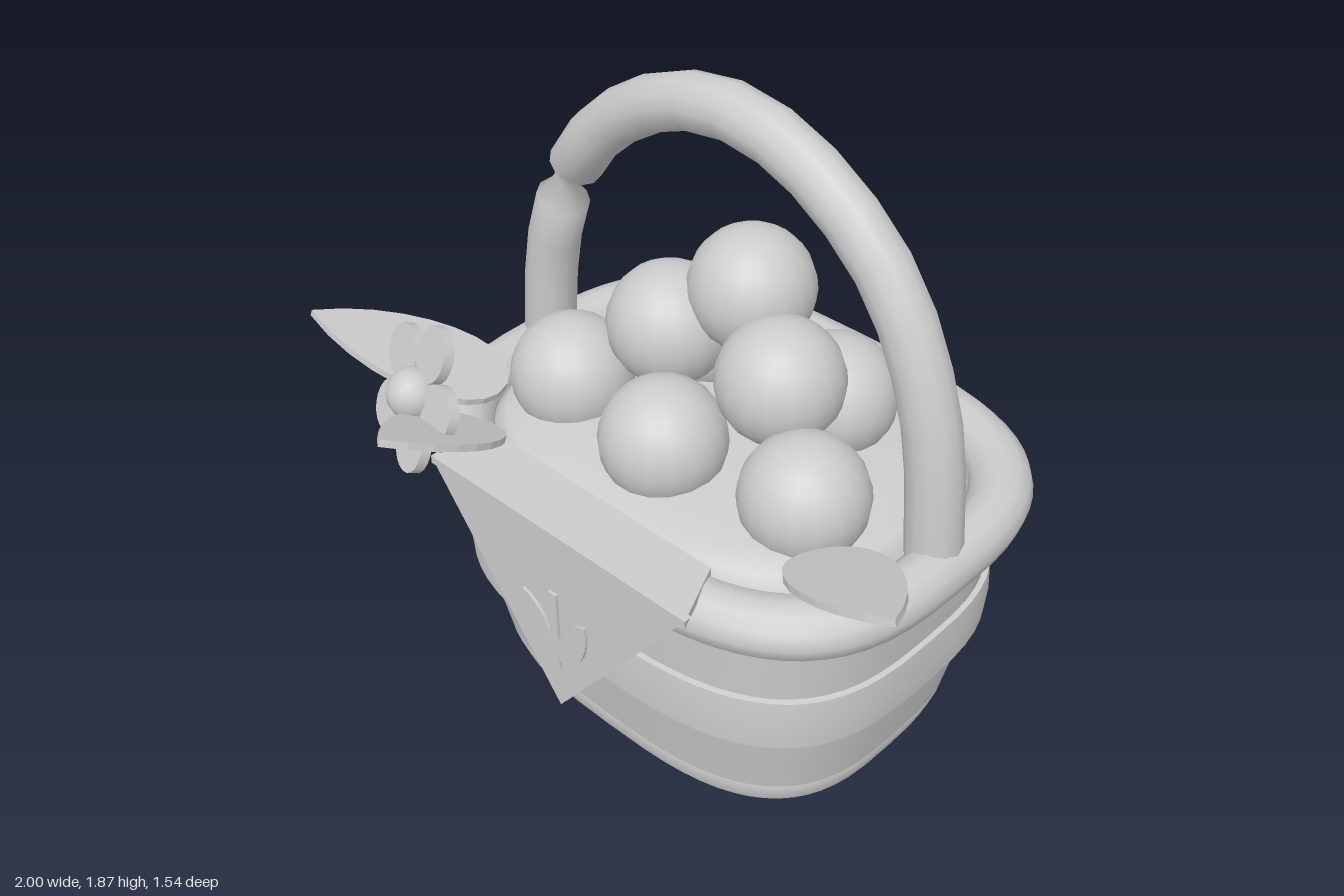
import * as THREE from 'three';
import { mergeVertices, toCreasedNormals } from 'three/addons/utils/BufferGeometryUtils.js';

const CX = 0.02, CZ = -0.122;

// Stack of rounded-rectangle rings; each ring is [halfX, halfZ, y]
function loft(rings, n = 3, seg = 64) {
  const pos = [], idx = [], S = seg + 1;
  const pw = (v) => Math.sign(v) * Math.abs(v) ** (2 / n);
  for (const [a, b, y] of rings)
    for (let j = 0; j <= seg; j++) {
      const t = ((j % seg) / seg) * Math.PI * 2;
      pos.push(a * pw(Math.cos(t)), y, b * pw(Math.sin(t)));
    }
  for (let i = 0; i < rings.length - 1; i++)
    for (let j = 0; j < seg; j++) {
      const a = i * S + j, c = a + S;
      idx.push(a, c, a + 1, a + 1, c, c + 1);
    }
  const g = new THREE.BufferGeometry();
  g.setAttribute('position', new THREE.Float32BufferAttribute(pos, 3));
  g.setIndex(idx);
  const m = mergeVertices(g, 1e-5);
  m.computeVertexNormals();
  return m;
}

const shapeOf = (pts) => new THREE.Shape(pts.map(([x, y]) => new THREE.Vector2(x, y)));
const plate = (shape, depth) => new THREE.ExtrudeGeometry(shape, { depth, bevelEnabled: false, curveSegments: 10 });

// Arched handle with one twisted, pinched joint on its right side
function handleGeometry() {
  const half = [[0.72, 0.76], [0.67, 1.18], [0.53, 1.5], [0.34, 1.68], [0.15, 1.77]];
  const pts = [...half, [0, 1.793], ...half.slice().reverse().map(([x, y]) => [-x, y])];
  const curve = new THREE.CatmullRomCurve3(pts.map(([x, y]) => new THREE.Vector3(x, y, 0)));
  const pos = [], idx = [], N = 20, R = 12, r = 0.077;
  for (let i = 0; i <= N; i++) {
    const p = curve.getPointAt(i / N), t = curve.getTangentAt(i / N);
    const twist = i > 15 ? 2.4 : 0;
    for (let j = 0; j < R; j++) {
      const a = (j / R) * Math.PI * 2 + twist;
      const c = Math.cos(a) * r, s = Math.sin(a) * r;
      pos.push(p.x + t.y * c, p.y - t.x * c, s);
    }
  }
  for (let i = 0; i < N; i++)
    for (let j = 0; j < R; j++) {
      const a = i * R + j, b = i * R + ((j + 1) % R);
      idx.push(a, a + R, b, b, a + R, b + R);
    }
  const g = new THREE.BufferGeometry();
  g.setAttribute('position', new THREE.Float32BufferAttribute(pos, 3));
  g.setIndex(idx);
  g.computeVertexNormals();
  return g;
}

// Pointed leaf plate running from base to tip
function leafGeometry(base, tip, width) {
  const b = new THREE.Vector3(...base), dir = new THREE.Vector3(...tip).sub(b);
  const L = dir.length(), c = width / 1.5;
  dir.normalize();
  const s = new THREE.Shape();
  s.moveTo(0, 0);
  s.bezierCurveTo(c, 0, c, L * 0.6, 0, L);
  s.bezierCurveTo(-c, L * 0.6, -c, 0, 0, 0);
  const x = dir.clone().cross(new THREE.Vector3(0, 1, 0)).normalize();
  const m = new THREE.Matrix4().makeBasis(x, dir, x.clone().cross(dir)).setPosition(b);
  return plate(s, 0.02).translate(0, 0, -0.01).applyMatrix4(m);
}

export function createModel() {
  const model = new THREE.Group();
  const grey = new THREE.MeshStandardMaterial({ color: 0xcccccc });
  grey.name = 'plain grey';
  const add = (name, geo, x = 0, y = 0, z = 0, parent = model) => {
    const m = new THREE.Mesh(geo, grey);
    m.name = name;
    m.position.set(x, y, z);
    parent.add(m);
    return m;
  };

  // Basket wall: base lip, tapered side, raised band, upper side
  const profile = [[0.615, 0], [0.635, 0.005], [0.655, 0.06], [0.652, 0.08], [0.66, 0.085], [0.712, 0.33],
    [0.738, 0.331], [0.744, 0.41], [0.74, 0.494], [0.725, 0.496], [0.745, 0.74]];
  const wall = [[0, 0, 0], ...profile.map(([a, y]) => [a, a - 0.165 + (0.74 - y) * 0.02, y])];
  add('basketBody', toCreasedNormals(loft(wall), 0.6), CX, 0, CZ);

  // Rolled rim
  const rim = [];
  for (let i = 0; i <= 12; i++) {
    const a = (i / 12) * Math.PI * 2 - Math.PI, c = Math.cos(a) * 0.08;
    rim.push([0.745 + c, 0.567 + c, 0.763 + Math.sin(a) * 0.08]);
  }
  add('rim', loft(rim), CX, 0, CZ);

  // Domed filling inside the rim
  const fill = [[0.68, 0.7], [0.655, 0.78], [0.62, 0.82], [0.54, 0.845], [0.36, 0.865], [0.15, 0.873], [0, 0.875]];
  add('filling', loft(fill.map(([a, y]) => [a, a * 0.765, y])), CX, 0, CZ);

  add('handle', handleGeometry(), CX, 0, CZ);

  // Pile of round fruit
  const ball = new THREE.SphereGeometry(0.177, 18, 14);
  [[0.02, 0.925, 0.13], [-0.39, 0.91, 0.07], [0.435, 0.905, 0.04], [-0.22, 0.955, -0.305], [0.25, 0.955, -0.305],
    [-0.175, 1.095, -0.1], [0.225, 1.095, -0.1], [0.02, 1.24, -0.215]]
    .forEach((p) => add('fruit', ball, ...p));

  // Cloth pennant folded over the front rim
  add('pennant', plate(shapeOf([[-0.45, 0.85], [0.02, 0.23], [0.49, 0.85]]), 0.025), 0, 0, 0.52);
  const flap = plate(shapeOf([[-0.45, -0.545], [0.49, -0.545], [0.405, -0.36], [-0.365, -0.36]]), 0.025);
  add('pennantFold', flap.rotateX(-Math.PI / 2), 0, 0.825, 0);

  // Sprout ornament on the pennant
  for (const s of [1, -1]) {
    const leaf = new THREE.Shape();
    leaf.moveTo(0, 0.41);
    leaf.bezierCurveTo(s * 0.08, 0.415, s * 0.135, 0.49, s * 0.118, 0.597);
    leaf.quadraticCurveTo(s * 0.05, 0.585, s * 0.016, 0.49);
    leaf.lineTo(0, 0.49);
    add('ornamentLeaf', plate(leaf, 0.009), CX, 0, 0.545);
  }
  add('ornamentStem', new THREE.BoxGeometry(0.03, 0.265, 0.0095), CX, 0.517, 0.5498);

  // Leaves
  add('rightLeaf', leafGeometry([-0.53, 0.86, 0.2], [-1, 1.04, 0.5], 0.31));
  add('frontLeaf', leafGeometry([-0.45, 0.85, 0.35], [-0.355, 1.07, 0.77], 0.27));
  add('leftLeaf', leafGeometry([0.58, 0.88, 0.165], [0.99, 1.07, 0.395], 0.27));

  // Flower tilted up and outward
  const flower = new THREE.Group();
  flower.name = 'flower';
  flower.position.set(-0.56, 0.97, 0.485);
  flower.lookAt(-0.56 - 0.3, 0.97 + 0.45, 0.485 + 1);
  model.add(flower);
  const petal = new THREE.CylinderGeometry(1, 1, 0.03, 20).rotateX(Math.PI / 2).scale(0.082, 0.075, 1);
  for (let i = 0; i < 5; i++) {
    const a = ((80 + i * 72) * Math.PI) / 180;
    add('petal', petal, Math.cos(a) * 0.135, Math.sin(a) * 0.135, 0, flower).rotation.z = a;
  }
  add('flowerCentre', new THREE.SphereGeometry(0.074, 14, 10), 0, 0, 0.015, flower);

  return model;
}
